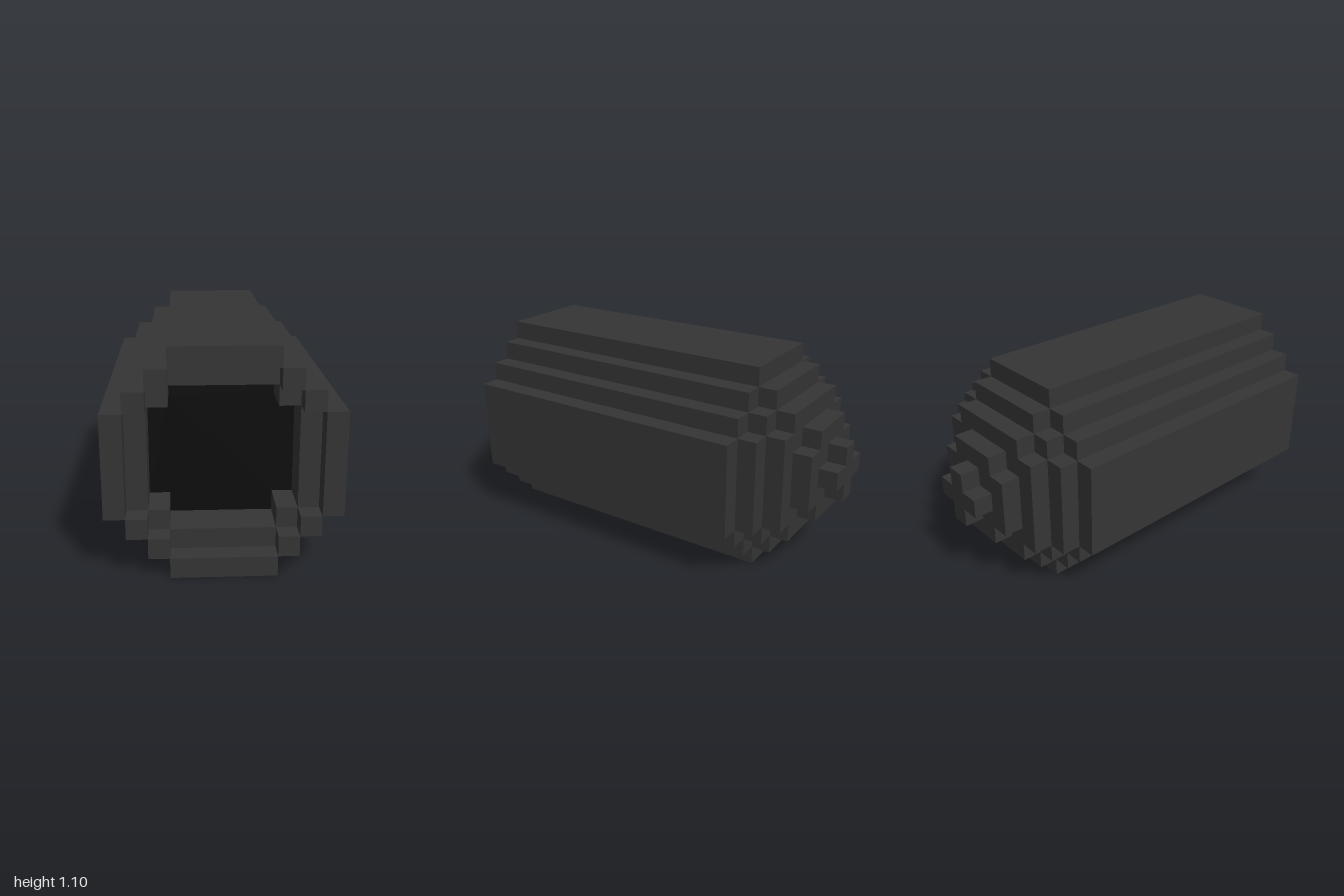
import * as THREE from 'three';

const CY = 0.55; // height of the long axis

// Stepped "pixel circle": radius r, half width f of the flat sides, 0.1 steps
function steppedPoints(r, f) {
  const quarter = [];
  const n = Math.round((r - f) / 0.1);
  for (let i = 0; i <= n; i++) {
    quarter.push([r - i * 0.1, f + i * 0.1]);
    if (i < n) quarter.push([r - (i + 1) * 0.1, f + i * 0.1]);
  }
  const points = [];
  for (let q = 0; q < 4; q++) {
    const c = [1, 0, -1, 0][q], s = [0, 1, 0, -1][q];
    for (const [x, y] of quarter) points.push(new THREE.Vector2(x * c - y * s, x * s + y * c));
  }
  return points;
}

export function createModel() {
  const group = new THREE.Group();
  const shell = new THREE.MeshStandardMaterial({ color: 0x353535 });
  shell.name = 'charcoal';
  const dark = new THREE.MeshStandardMaterial({ color: 0x0d0d0d });
  dark.name = 'black';

  const add = (name, geometry, material, x, y, z, parent = group) => {
    const mesh = new THREE.Mesh(geometry, material);
    mesh.name = name;
    mesh.position.set(x, y, z);
    parent.add(mesh);
    return mesh;
  };
  const extrude = (shape, depth) => new THREE.ExtrudeGeometry(shape, { depth, bevelEnabled: false });

  // Long body with the stepped opening
  const bodyShape = new THREE.Shape(steppedPoints(0.55, 0.25));
  bodyShape.holes.push(new THREE.Path(steppedPoints(0.35, 0.25).reverse()));
  add('body', extrude(bodyShape, 1.5), shell, 0, CY, -0.6);

  // Dark disc set into the opening
  add('lens', new THREE.ShapeGeometry(new THREE.Shape(steppedPoints(0.35, 0.25))), dark, 0, CY, 0.7);

  // Tapering tiers at the back
  [[0.45, 0.25], [0.35, 0.25], [0.25, 0.15], [0.15, 0.05]].forEach(([r, f], i) => {
    add('backTier' + (i + 1), extrude(new THREE.Shape(steppedPoints(r, f)), 0.1), shell, 0, CY, -0.7 - i * 0.1);
  });

  // Raised front rim: four bars and two stepped blocks in each corner
  const rim = new THREE.Group();
  rim.name = 'frontRim';
  group.add(rim);
  const block = (name, w, h, x, y) =>
    add(name, new THREE.BoxGeometry(w, h, 0.1), shell, x, CY + y, 0.95, rim);
  for (const s of [-1, 1]) {
    block('rimSideBar', 0.1, 0.5, s * 0.5, 0);
    block('rimFlatBar', 0.5, 0.1, 0, s * 0.5);
    for (const t of [-1, 1]) {
      block('rimCorner', 0.1, 0.1, s * 0.4, t * 0.3);
      block('rimCorner', 0.1, 0.1, s * 0.3, t * 0.4);
    }
  }
  return group;
}
